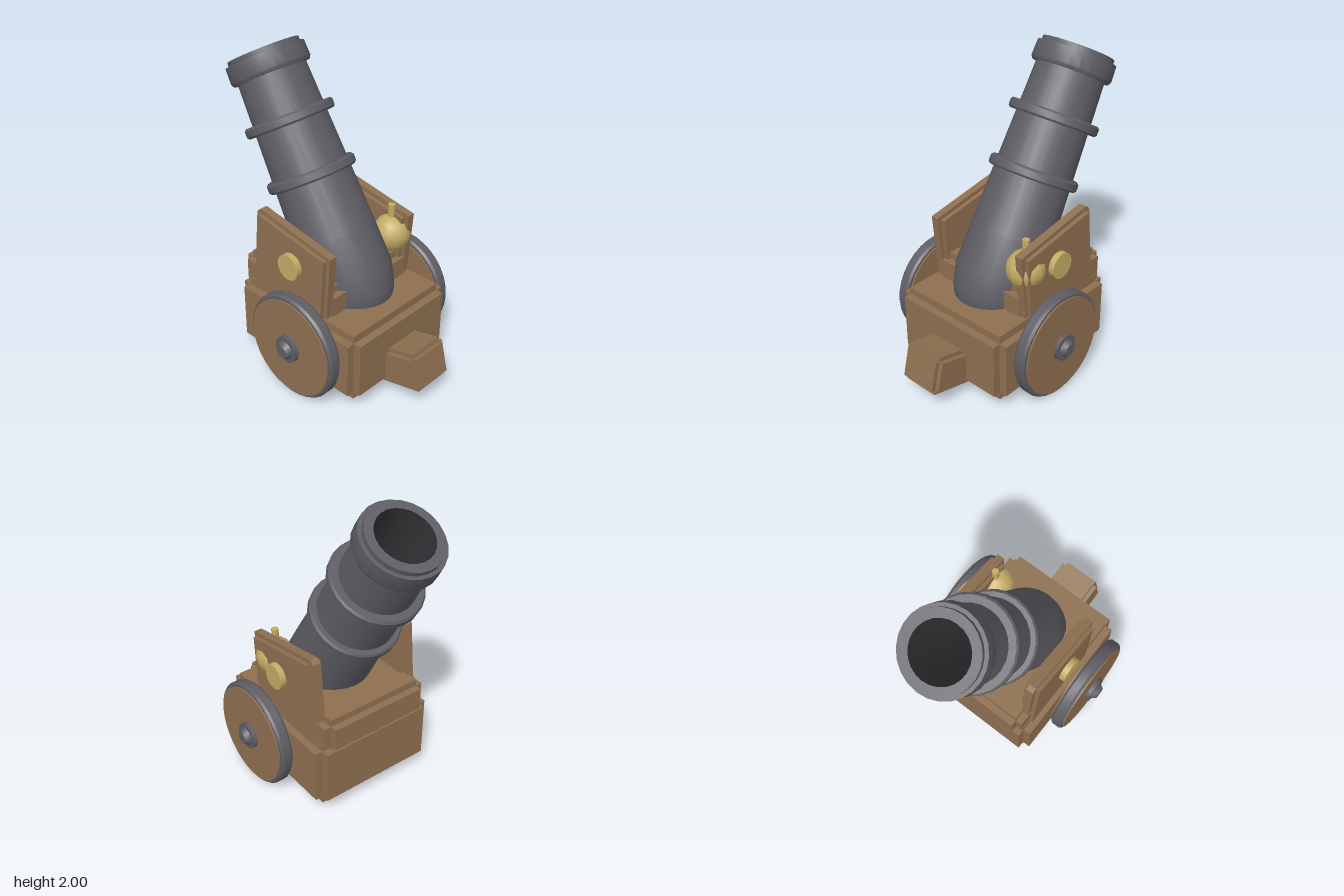
import * as THREE from 'three';
import { toCreasedNormals } from 'three/addons/utils/BufferGeometryUtils.js';

const paint = (color) => new THREE.MeshStandardMaterial({ color });
const wood = paint(0x8f7050), iron = paint(0x5e5d64), brass = paint(0xc4ac66), dark = paint(0x353539);

function add(parent, name, geometry, material, x = 0, y = 0, z = 0) {
  const mesh = new THREE.Mesh(geometry, material);
  mesh.name = name;
  mesh.position.set(x, y, z);
  parent.add(mesh);
  return mesh;
}

// Turned part around y; profile runs bottom to top as [radius, height]
function turned(profile, sides = 24) {
  const points = profile.map(([r, h]) => new THREE.Vector2(r, h));
  return toCreasedNormals(new THREE.LatheGeometry(points, sides), 0.6);
}

// Block with stepped edges: three crossed boxes, each full size along one axis
function steppedBlock(name, w, h, d, step, x, y, z) {
  const block = new THREE.Group();
  block.name = name;
  const s = 2 * step;
  add(block, name + 'Width', new THREE.BoxGeometry(w, h - s, d - s), wood);
  add(block, name + 'Height', new THREE.BoxGeometry(w - s, h, d - s), wood);
  add(block, name + 'Depth', new THREE.BoxGeometry(w - s, h - s, d), wood);
  block.position.set(x, y, z);
  return block;
}

// Slab of a (z, y) outline, centred on x = 0
function slab(outline, thickness) {
  const shape = new THREE.Shape(outline.map(([z, y]) => new THREE.Vector2(-z, y)));
  const g = new THREE.ExtrudeGeometry(shape, { depth: thickness, bevelEnabled: false });
  return g.translate(0, 0, -thickness / 2).rotateY(Math.PI / 2);
}

function createBarrel() {
  const barrel = new THREE.Group();
  barrel.name = 'barrel';
  // Origin at the muzzle, tube running down -y
  add(barrel, 'tube', turned([
    [0, -1.76], [0.13, -1.75], [0.2, -1.69], [0.236, -1.61], [0.27, -1.47], [0.262, -1.2],
    [0.22, -0.15], [0.245, -0.15], [0.257, -0.13], [0.253, -0.03], [0.23, -0.03], [0.23, 0], [0.175, 0],
  ]), iron);
  add(barrel, 'bore', turned([[0.175, 0], [0.175, -0.9], [0, -0.9]]), dark);
  for (const h of [-0.44, -0.8]) {
    add(barrel, 'barrelRing', turned([
      [0.22, -0.032], [0.275, -0.032], [0.286, -0.02], [0.286, 0.02], [0.275, 0.032], [0.22, 0.032],
    ]), iron, 0, h, 0);
  }
  barrel.position.set(0, 1.885, -0.61);
  barrel.rotation.x = -Math.PI / 6;
  return barrel;
}

function createSide(side) {
  const group = new THREE.Group();
  group.name = side > 0 ? 'leftSide' : 'rightSide';

  // Cheek panel: thin full outline, thicker inset outline
  add(group, 'cheekCore', slab([[0.31, 0.96], [-0.27, 1.07], [-0.3, 1.045], [-0.355, 0.5], [0.27, 0.5]], 0.05),
    wood, side * 0.345);
  add(group, 'cheekPanel', slab([[0.28, 0.94], [-0.265, 1.04], [-0.325, 0.5], [0.25, 0.5]], 0.104),
    wood, side * 0.345);

  // Trunnion cap
  add(group, 'trunnion', new THREE.CylinderGeometry(0.083, 0.083, 0.1, 20).rotateZ(Math.PI / 2),
    brass, side * 0.385, 0.81, 0.02);

  // Wheel
  const wheel = new THREE.Group();
  wheel.name = 'wheel';
  add(wheel, 'wheelDisc', new THREE.CylinderGeometry(0.318, 0.318, 0.1, 32), wood);
  add(wheel, 'tyre', turned([
    [0.3, -0.04], [0.333, -0.04], [0.344, -0.025], [0.344, 0.025], [0.333, 0.04], [0.3, 0.04],
  ], 32), iron);
  add(wheel, 'hub', turned([
    [0, -0.09], [0.087, -0.09], [0.087, 0.078], [0.06, 0.078], [0.04, 0.11], [0, 0.11],
  ], 12), iron);
  wheel.rotation.z = -side * Math.PI / 2;
  wheel.position.set(side * 0.5, 0.347, 0.137);
  group.add(wheel);
  return group;
}

export function createModel() {
  const cannon = new THREE.Group();
  cannon.name = 'cannon';

  // Carriage
  cannon.add(steppedBlock('lowerBlock', 0.86, 0.46, 1.0, 0.05, 0, 0.3, 0.057));
  cannon.add(steppedBlock('upperBlock', 0.75, 0.24, 0.74, 0.045, 0, 0.58, -0.085));
  const tail = steppedBlock('tailStep', 0.295, 0.25, 0.45, 0.028, 0, 0.208, 0.575);
  tail.rotation.x = -0.24;
  cannon.add(tail);

  cannon.add(createBarrel());
  for (const side of [1, -1]) cannon.add(createSide(side));

  // Round brass shot with a stub on top, lodged in the left cheek
  add(cannon, 'shot', new THREE.SphereGeometry(0.122, 12, 8), brass, 0.3, 0.815, 0.195);
  add(cannon, 'shotStub', new THREE.CylinderGeometry(0.023, 0.023, 0.1, 8), brass, 0.297, 0.962, 0.192);
  return cannon;
}
